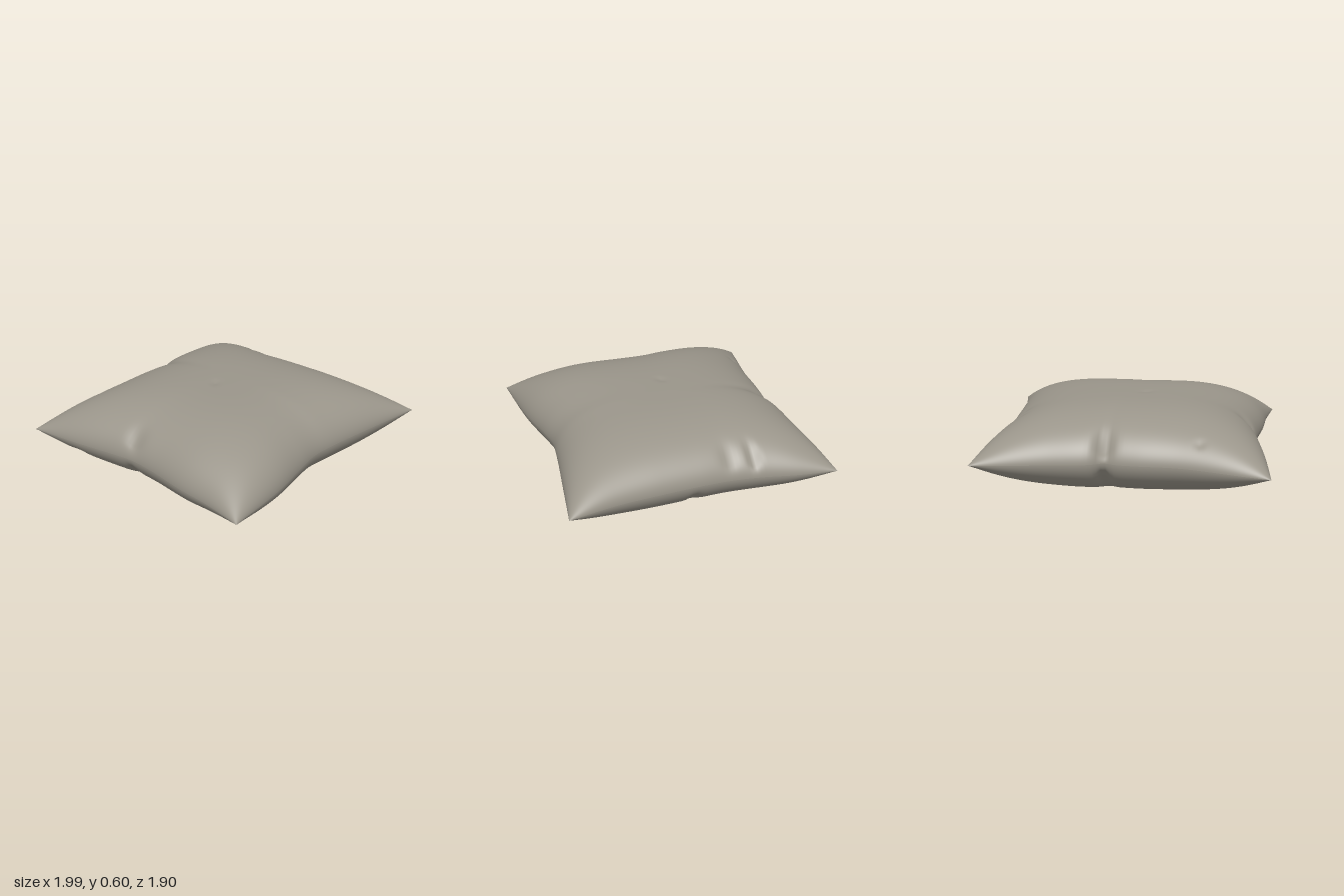
import * as THREE from 'three';

const N = 96;

// Smooth outline of one side through a few points, sampled by fraction 0..1
function side(points) {
  const curve = new THREE.CatmullRomCurve3(points.map(([x, z, y]) => new THREE.Vector3(x, y, z)));
  return (t) => curve.getPointAt(t);
}

// Seam outlines as [x, z, y]
const back = side([[-0.985, -0.955, 0.27], [-0.8, -0.92, 0.275], [-0.4, -0.85, 0.29], [-0.1, -0.835, 0.29],
  [0.04, -0.82, 0.29], [0.11, -0.795, 0.29], [0.2, -0.84, 0.29], [0.5, -0.87, 0.285], [0.8, -0.905, 0.28], [0.99, -0.92, 0.28]]);
const front = side([[-0.995, 0.93, 0.25], [-0.5, 0.885, 0.26], [-0.2, 0.83, 0.27], [0, 0.805, 0.28],
  [0.2, 0.825, 0.285], [0.6, 0.885, 0.29], [0.995, 0.945, 0.29]]);
const left = side([[0.99, -0.92, 0.28], [0.955, -0.65, 0.28], [0.91, -0.4, 0.285], [0.885, -0.2, 0.285],
  [0.89, 0, 0.29], [0.905, 0.3, 0.29], [0.93, 0.6, 0.29], [0.995, 0.945, 0.29]]);
const right = side([[-0.985, -0.955, 0.27], [-0.95, -0.6, 0.275], [-0.9, -0.25, 0.28], [-0.88, -0.1, 0.28],
  [-0.89, 0.1, 0.275], [-0.93, 0.4, 0.265], [-0.95, 0.65, 0.26], [-0.995, 0.93, 0.25]]);

// Dents in the cloth: x, z, radius in x, radius in z, depth
const topDents = [[0.84, -0.36, 0.08, 0.03, 0.04], [0.82, -0.2, 0.08, 0.05, 0.02], [0.11, -0.78, 0.05, 0.09, 0.05],
  [-0.83, -0.1, 0.07, 0.06, 0.03], [-0.09, -0.03, 0.03, 0.025, 0.012], [-0.52, -0.77, 0.03, 0.03, 0.012]];
const bottomDents = [[0.12, -0.74, 0.04, 0.1, 0.04], [0.82, 0.05, 0.09, 0.04, 0.02],
  [-0.8, -0.12, 0.1, 0.04, 0.03], [-0.85, -0.6, 0.06, 0.05, 0.02]];

const puff = (u) => Math.pow(Math.max(0, 1 - Math.pow(Math.abs(u), 3.2)), 0.55);

// One half of the cushion, a patch stretched between the four seam outlines
function makeHalf(sign, dents) {
  const geo = new THREE.PlaneGeometry(2, 2, N, N);
  geo.rotateX(-Math.PI / 2);
  const p = geo.attributes.position;
  const c00 = back(0), c10 = back(1), c01 = front(0), c11 = front(1);
  const ease = (a) => Math.sin(a * Math.PI / 2);
  // Outline samples are shared by every row and column
  const steps = Array.from({ length: N + 1 }, (_, i) => (ease((i / N) * 2 - 1) + 1) / 2);
  const rows = { back: steps.map(back), front: steps.map(front), left: steps.map(left), right: steps.map(right) };
  for (let j = 0; j <= N; j++) {
    for (let i = 0; i <= N; i++) {
      const s = steps[i], t = steps[j];
      const q = new THREE.Vector3()
        .addScaledVector(rows.back[i], 1 - t).addScaledVector(rows.front[i], t)
        .addScaledVector(rows.right[j], 1 - s).addScaledVector(rows.left[j], s)
        .addScaledVector(c00, -(1 - s) * (1 - t)).addScaledVector(c10, -s * (1 - t))
        .addScaledVector(c01, -(1 - s) * t).addScaledVector(c11, -s * t);
      const swell = puff(2 * s - 1) * puff(2 * t - 1);
      // The seam plane levels out towards the crown
      const target = sign > 0 ? 0.6 : 0;
      let y = q.y + (target - q.y) * swell;
      for (const [x, z, rx, rz, depth] of dents) {
        const d = ((q.x - x) / rx) ** 2 + ((q.z - z) / rz) ** 2;
        y -= sign * depth * Math.exp(-d) * Math.min(1, swell * 3);
      }
      p.setXYZ(j * (N + 1) + i, q.x, y, q.z);
    }
  }
  // The lower half faces down
  if (sign < 0) {
    const idx = geo.index.array;
    for (let k = 0; k < idx.length; k += 3) [idx[k], idx[k + 1]] = [idx[k + 1], idx[k]];
  }
  geo.computeVertexNormals();
  return geo;
}

export function createModel() {
  const cloth = new THREE.MeshStandardMaterial({ color: 0x9a958a });
  cloth.name = 'warm grey cloth';
  const cushion = new THREE.Group();
  cushion.name = 'cushion';
  const halves = [['upperCover', 1, topDents], ['lowerCover', -1, bottomDents]];
  for (const [name, sign, dents] of halves) {
    const mesh = new THREE.Mesh(makeHalf(sign, dents), cloth);
    mesh.name = name;
    cushion.add(mesh);
  }
  return cushion;
}
